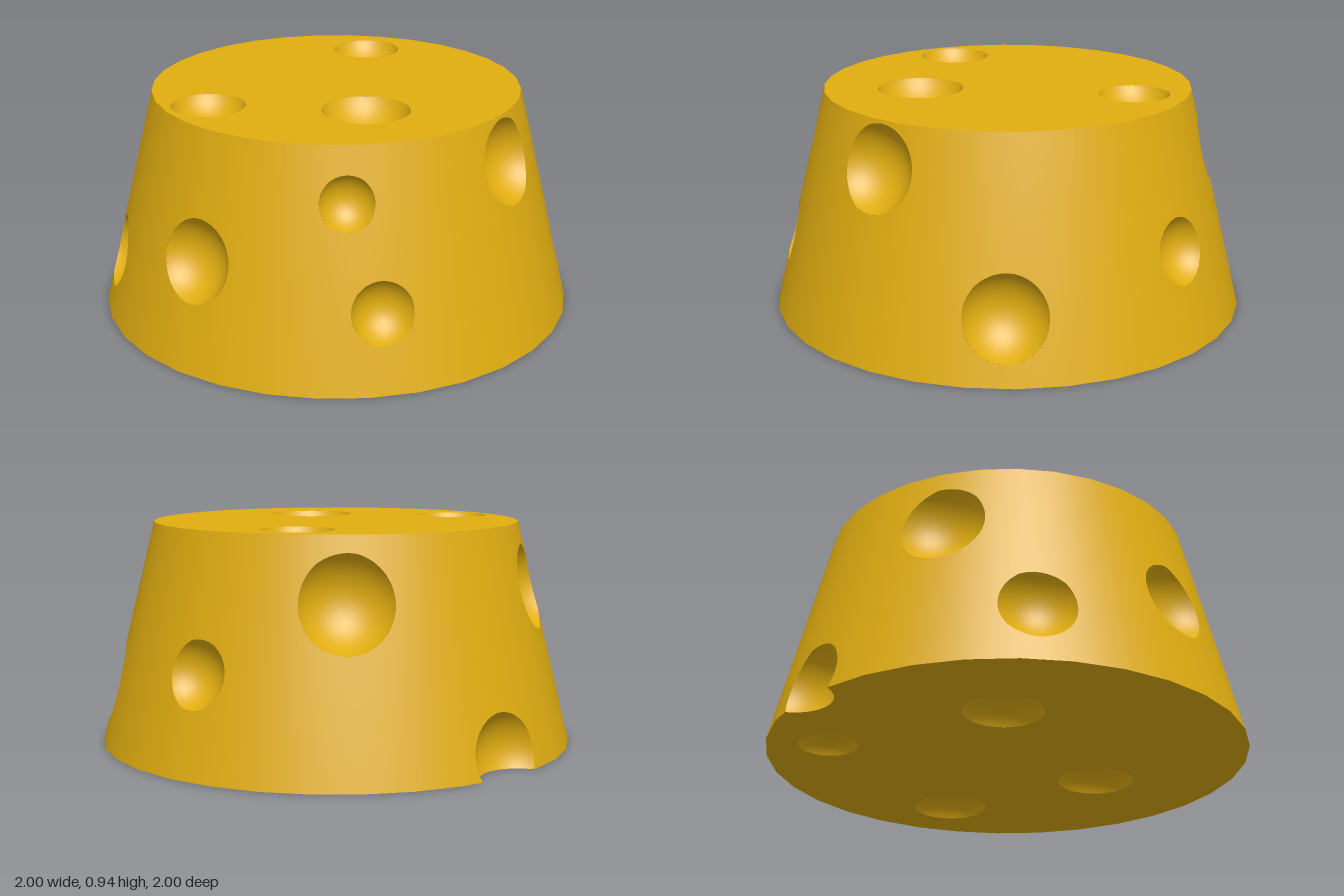
import * as THREE from 'three';

const H = 0.935, R_TOP = 0.77, R_BOTTOM = 1, SIDES = 32;
const SLOPE = Math.atan2(R_BOTTOM - R_TOP, H);
const STEP = (2 * Math.PI) / SIDES;

const radiusAt = (y) => R_BOTTOM + (R_TOP - R_BOTTOM) * (y / H);

// ratio of the 32-sided outline to the true circle in direction (x, z)
function facet(x, z) {
  const a = Math.atan2(x, z) + 2 * Math.PI;
  return Math.cos(STEP / 2) / Math.cos((a % STEP) - STEP / 2);
}

// positive inside the truncated cone
const inside = (p) => Math.min(p.y, H - p.y, radiusAt(p.y) * facet(p.x, p.z) - Math.hypot(p.x, p.z));

// Craters: spheres whose centres float a little off the surface
function crater(x, y, z, w, normal) {
  const d = 0.45 * w;
  return { centre: new THREE.Vector3(x, y, z).addScaledVector(normal, d), r: Math.hypot(w, d) };
}

function sideCrater(x, z, y, w) {
  const a = Math.atan2(x, z), r = radiusAt(y), c = Math.cos(SLOPE);
  const n = new THREE.Vector3(Math.sin(a) * c, Math.sin(SLOPE), Math.cos(a) * c);
  return crater(Math.sin(a) * r, y, Math.cos(a) * r, w, n);
}

const UP = new THREE.Vector3(0, 1, 0), DOWN = new THREE.Vector3(0, -1, 0);

const craters = [
  // around the side: x, z (direction), height, rim radius
  ...[
    [0.07, 0.81, 0.75, 0.178],
    [-0.62, 0.535, 0.72, 0.11],
    [-0.605, 0.695, 0.31, 0.128],
    [0.635, 0.685, 0.255, 0.175],
    [0.9, -0.045, 0.395, 0.139],
    [0.61, -0.55, 0.68, 0.195],
    [0.14, -0.97, 0.075, 0.175],
    [-0.345, -0.755, 0.675, 0.182],
    [-0.71, -0.61, 0.255, 0.157],
    [-0.895, 0, 0.435, 0.17],
  ].map((c) => sideCrater(...c)),
  // top: x, z, rim radius
  ...[
    [-0.545, -0.225, 0.15],
    [0.505, -0.22, 0.145],
    [-0.205, 0.31, 0.177],
  ].map(([x, z, w]) => crater(x, H, z, w, UP)),
  // underside
  ...[
    [0.607, 0.277, 0.16],
    [0.43, -0.613, 0.122],
    [-0.335, -0.389, 0.16],
    [-0.102, 0.455, 0.16],
  ].map(([x, z, w]) => crater(x, 0, z, w, DOWN)),
];

// positive outside every crater
const uncut = (p) => Math.min(...craters.map((c) => p.distanceTo(c.centre) - c.r));

// Keep the part of a geometry where keep(p) > 0, trimming the triangles on the border
function clip(geometry, keep) {
  const g = geometry.index ? geometry.toNonIndexed() : geometry;
  const P = g.attributes.position, N = g.attributes.normal;
  const positions = [], normals = [];
  const cut = (a, b) => {
    let lo = 0, hi = 1; // a is kept, b is not
    const p = new THREE.Vector3();
    for (let i = 0; i < 18; i++) {
      const mid = (lo + hi) / 2;
      if (keep(p.lerpVectors(a.p, b.p, mid)) > 0) lo = mid;
      else hi = mid;
    }
    return { p: p.lerpVectors(a.p, b.p, lo).clone(), n: a.n.clone().lerp(b.n, lo).normalize() };
  };
  for (let i = 0; i < P.count; i += 3) {
    const tri = [0, 1, 2].map((k) => {
      const p = new THREE.Vector3().fromBufferAttribute(P, i + k);
      return { p, n: new THREE.Vector3().fromBufferAttribute(N, i + k), ok: keep(p) > 0 };
    });
    const poly = [];
    tri.forEach((a, k) => {
      const b = tri[(k + 1) % 3];
      if (a.ok) poly.push(a);
      if (a.ok !== b.ok) poly.push(a.ok ? cut(a, b) : cut(b, a));
    });
    for (let k = 1; k + 1 < poly.length; k++) {
      for (const v of [poly[0], poly[k], poly[k + 1]]) {
        positions.push(v.p.x, v.p.y, v.p.z);
        normals.push(v.n.x, v.n.y, v.n.z);
      }
    }
  }
  const out = new THREE.BufferGeometry();
  out.setAttribute('position', new THREE.Float32BufferAttribute(positions, 3));
  out.setAttribute('normal', new THREE.Float32BufferAttribute(normals, 3));
  return out;
}

// Pull a finely divided round geometry onto the 32-sided outline
function toFacets(g) {
  const P = g.attributes.position;
  for (let i = 0; i < P.count; i++) {
    const k = facet(P.getX(i), P.getZ(i));
    P.setXYZ(i, P.getX(i) * k, P.getY(i), P.getZ(i) * k);
  }
  return g;
}

// Inward-facing sphere wall
function bowl({ centre, r }) {
  const g = new THREE.SphereGeometry(r, 48, 32).scale(-1, 1, 1);
  const N = g.attributes.normal;
  for (let i = 0; i < N.count; i++) N.setXYZ(i, -N.getX(i), -N.getY(i), -N.getZ(i));
  return g.translate(centre.x, centre.y, centre.z);
}

export function createModel() {
  const model = new THREE.Group();
  model.name = 'cheese';
  const material = new THREE.MeshStandardMaterial({ color: 0xe0ad10 });
  const add = (name, geometry) => {
    const mesh = new THREE.Mesh(geometry, material);
    mesh.name = name;
    model.add(mesh);
  };

  // Sloping side wall
  const wall = new THREE.CylinderGeometry(R_TOP, R_BOTTOM, H, SIDES * 6, 36, true).translate(0, H / 2, 0);
  add('sideWall', clip(toFacets(wall), uncut));

  // Flat top and underside
  const disc = (r, turn, y) =>
    toFacets(new THREE.RingGeometry(0, r, SIDES * 6, 36).rotateX(turn).translate(0, y, 0));
  add('topFace', clip(disc(R_TOP, -Math.PI / 2, H), uncut));
  add('underside', clip(disc(R_BOTTOM, Math.PI / 2, 0), uncut));

  // Crater bowls, trimmed to the body
  craters.forEach((c, i) => add(`crater${i + 1}`, clip(bowl(c), inside)));
  return model;
}
